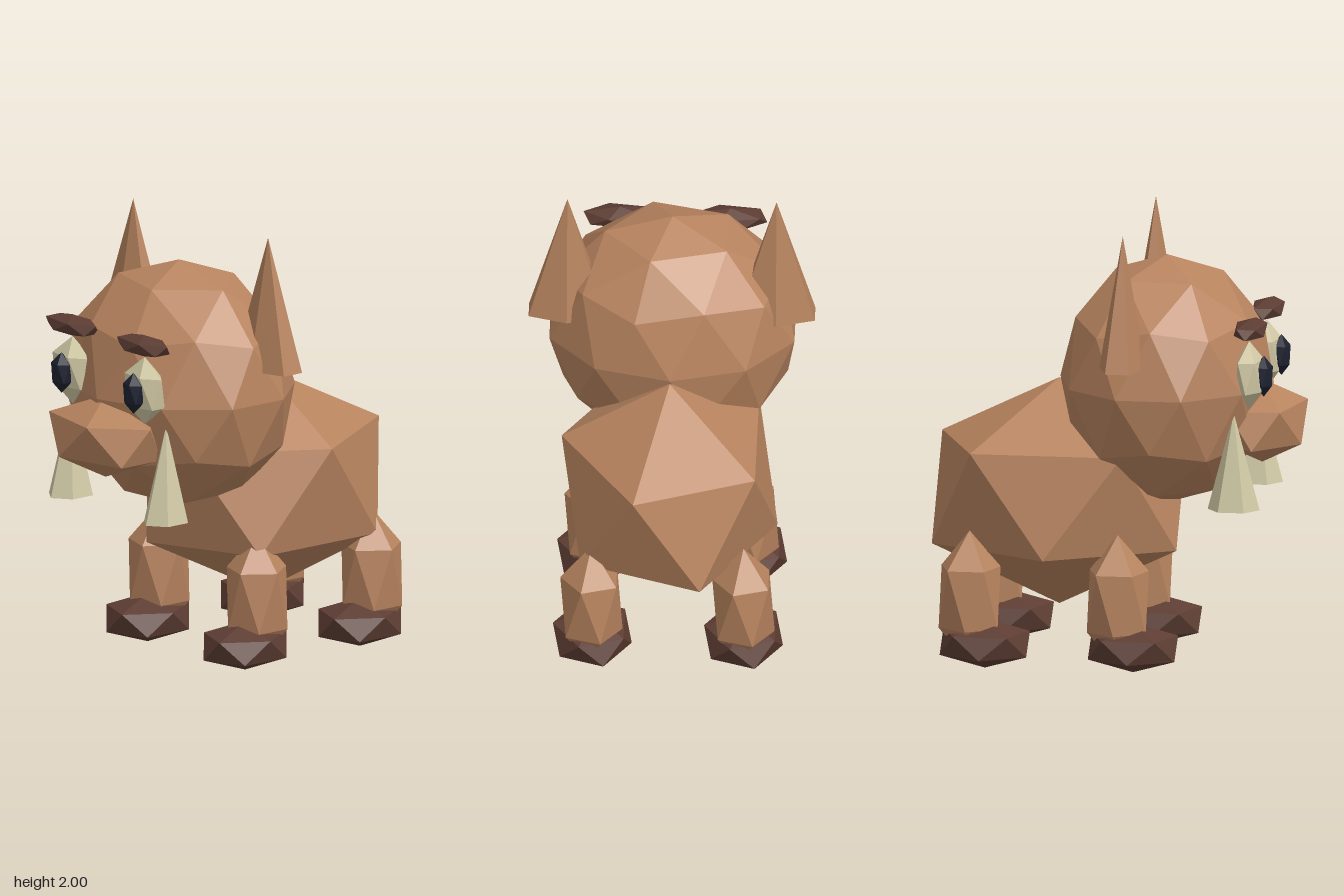
import * as THREE from 'three';

const material = (name, color) => {
  const m = new THREE.MeshStandardMaterial({ color, flatShading: true });
  m.name = name;
  return m;
};

export function createModel() {
  const group = new THREE.Group();
  const fur = material('brown fur', 0xb8845f);
  const dark = material('dark brown', 0x5d3d33);
  const ivory = material('ivory', 0xd2caa6);
  const black = material('pupil black', 0x1e2230);

  const add = (name, geometry, mat, [x, y, z]) => {
    geometry.computeVertexNormals();
    const mesh = new THREE.Mesh(geometry, mat);
    mesh.name = name;
    mesh.position.set(x, y, z);
    group.add(mesh);
  };

  // Faceted ball standing on a vertex, with an upper ring corner on +x
  const ball = (name, mat, position, [rx, ry, rz], detail = 0) => {
    const g = new THREE.IcosahedronGeometry(1, detail);
    g.rotateZ(-Math.atan(2 / (1 + Math.sqrt(5))));
    g.scale(rx, ry, rz);
    add(name, g, mat, position);
  };

  // Six-sided spike with its base at the given height
  const spike = (name, mat, [x, y, z], rx, height, rz) => {
    const g = new THREE.ConeGeometry(1, height, 6).toNonIndexed();
    g.scale(rx, 1, rz);
    add(name, g, mat, [x, y + height / 2, z]);
  };

  // Torso, head and snout
  ball('body', fur, [0, 0.747, -0.28], [0.537, 0.512, 0.647]);
  ball('head', fur, [0, 1.27, 0.205], [0.573, 0.562, 0.48], 1);
  ball('snout', fur, [0, 1.093, 0.633], [0.345, 0.188, 0.225]);

  for (const [side, s] of [['left', 1], ['right', -1]]) {
    // Face
    ball(side + 'Eye', ivory, [s * 0.248, 1.345, 0.615], [0.132, 0.155, 0.07]);
    ball(side + 'Pupil', black, [s * 0.248, 1.343, 0.68], [0.061, 0.093, 0.045]);
    ball(side + 'Brow', dark, [s * 0.245, 1.552, 0.62], [0.183, 0.049, 0.08]);
    spike(side + 'Ear', fur, [s * 0.465, 1.405, 0.08], 0.198, 0.595, 0.106);
    spike(side + 'Tusk', ivory, [s * 0.328, 0.75, 0.557], 0.095, 0.44, 0.117);

    // Legs and feet
    for (const [end, z] of [['Front', 0.037], ['Back', -0.63]]) {
      ball(side + end + 'Leg', fur, [s * 0.338, 0.318, z], [0.155, 0.302, 0.156]);
      ball(side + end + 'Foot', dark, [s * 0.336, 0.112, z + 0.068], [0.196, 0.112, 0.229]);
    }
  }
  return group;
}
